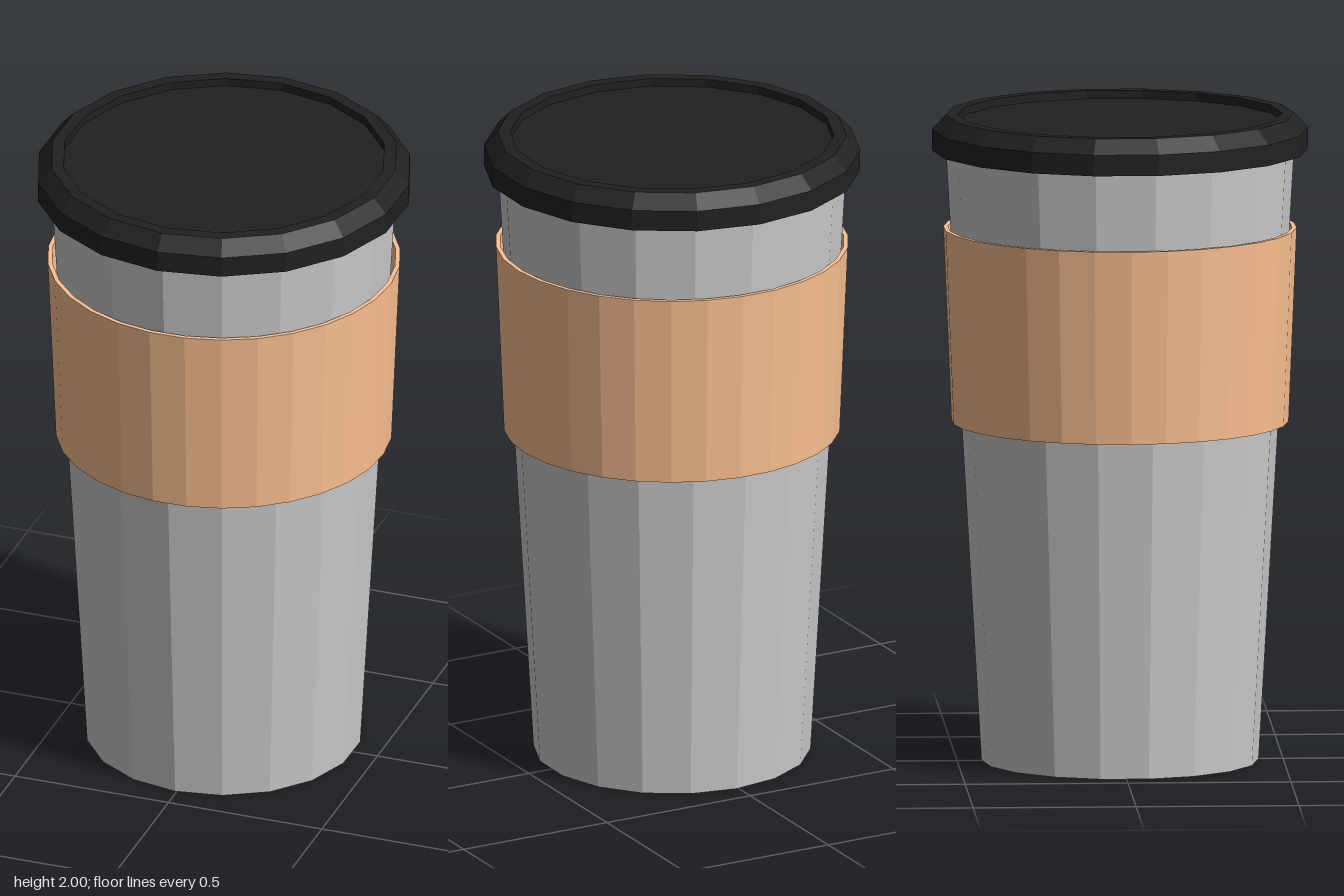
import * as THREE from 'three';

// Faceted solid of revolution from [radius, y] pairs, outside listed bottom to top
function turned(name, color, sides, turnDegrees, profile) {
  const points = profile.map(([r, y]) => new THREE.Vector2(r, y));
  const geometry = new THREE.LatheGeometry(points, sides, THREE.MathUtils.degToRad(turnDegrees));
  const material = new THREE.MeshStandardMaterial({ color, flatShading: true });
  const mesh = new THREE.Mesh(geometry, material);
  mesh.name = name;
  return mesh;
}

export function createModel() {
  const cup = new THREE.Group();
  cup.name = 'travelCup';

  // Tapered body, closed at the base and under the lid
  cup.add(turned('body', 0xcccccc, 18, -0.8, [
    [0, 0], [0.425, 0], [0.535, 1.91], [0, 1.91],
  ]));

  // Thin sleeve standing slightly clear of the body
  cup.add(turned('sleeve', 0xfcc192, 30, 7, [
    [0.503, 1.05], [0.517, 1.05], [0.542, 1.65], [0.528, 1.65], [0.503, 1.05],
  ]));

  // Lid with an overhanging lip, chamfered rim and shallow recessed top
  cup.add(turned('lid', 0x212121, 18, -0.8, [
    [0.5, 1.89], [0.577, 1.89], [0.577, 1.955], [0.535, 2],
    [0.497, 2], [0.497, 1.975], [0, 1.975],
  ]));

  return cup;
}
